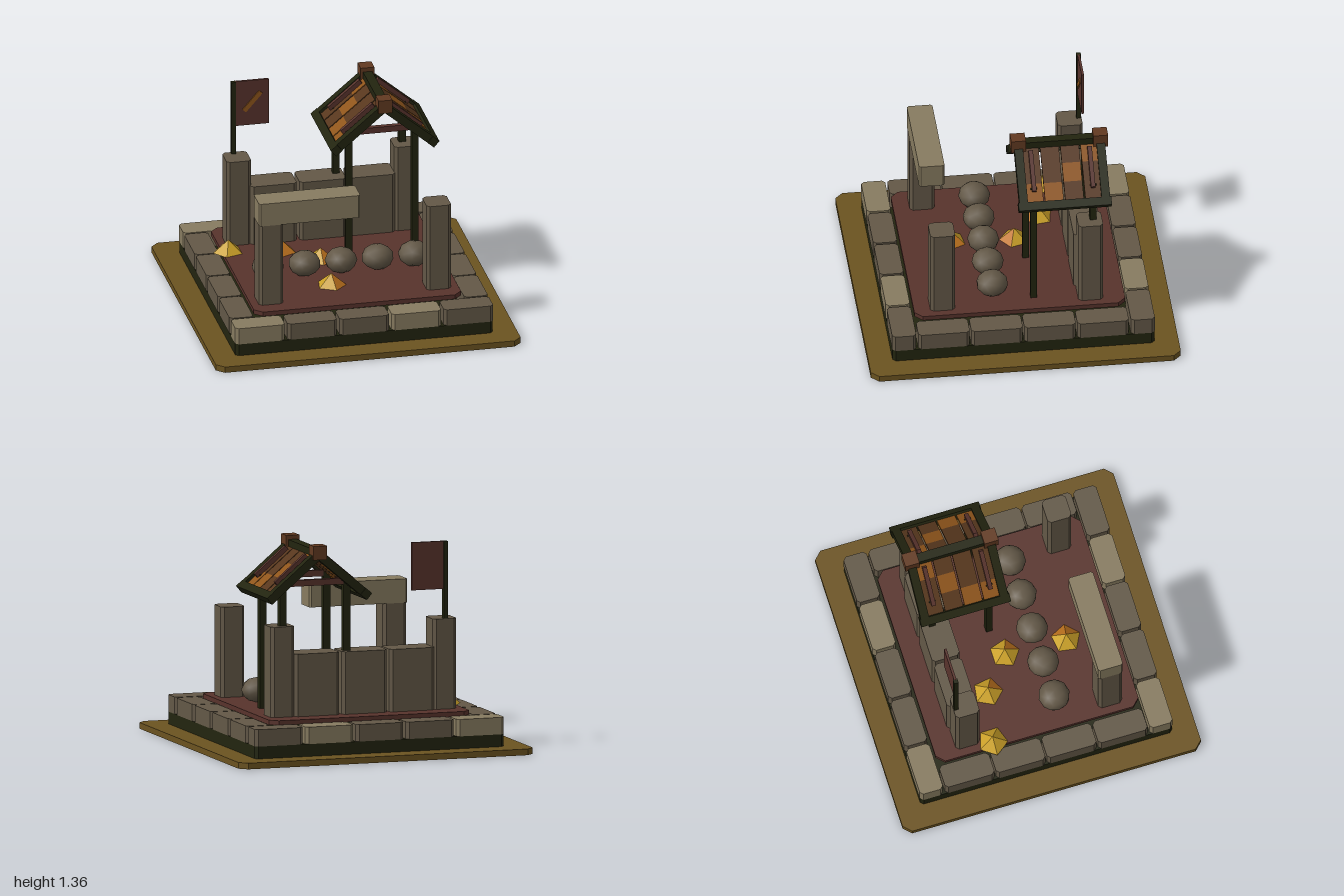
import * as THREE from 'three';

const mat = (name, color) => {
  const m = new THREE.MeshStandardMaterial({ color });
  m.name = name;
  return m;
};

export function createModel() {
  const model = new THREE.Group();
  model.name = 'ruinedCamp';

  const earth = mat('earth', 0x6b5320), dark = mat('darkTimber', 0x22240f);
  const stone = mat('stone', 0x635847), paleStone = mat('paleStone', 0x877b60);
  const red = mat('darkRed', 0x58332c), rust = mat('rust', 0x623a21);
  const brown = mat('brownTile', 0x57371d), orange = mat('orangeTile', 0x8f551b);
  const gold = mat('gold', 0xcaa028), amber = mat('amber', 0xc0741f);

  const add = (parent, name, geo, material, x = 0, y = 0, z = 0) => {
    const m = new THREE.Mesh(geo, material);
    m.name = name;
    m.position.set(x, y, z);
    parent.add(m);
    return m;
  };
  const box = (parent, name, material, w, h, d, x, y, z) =>
    add(parent, name, new THREE.BoxGeometry(w, h, d), material, x, y, z);

  // Upright block with chamfered vertical corners, standing on y
  const block = (name, material, w, h, d, x, y, z, c = 0.02) => {
    const a = w / 2, b = d / 2;
    const pts = [[-a + c, -b], [a - c, -b], [a, -b + c], [a, b - c],
      [a - c, b], [-a + c, b], [-a, b - c], [-a, -b + c]];
    const shape = new THREE.Shape(pts.map(p => new THREE.Vector2(...p)));
    const geo = new THREE.ExtrudeGeometry(shape, { depth: h, bevelEnabled: false });
    geo.rotateX(-Math.PI / 2);
    return add(model, name, geo, material, x, y, z);
  };

  // Ground, plinth and raised floor
  block('ground', earth, 2, 0.04, 2, 0, 0, 0, 0.05);
  block('plinth', dark, 1.69, 0.08, 1.69, 0, 0.04, 0, 0.02);
  block('floor', red, 1.36, 0.03, 1.36, 0, 0.225, 0, 0.05);

  // Ring of kerb stones
  for (const s of [-1, 1]) {
    for (let i = 0; i < 5; i++) {
      block('kerbStone', i % 3 === 0 ? paleStone : stone, 0.325, 0.11, 0.155, (i - 2) * 0.342, 0.12, s * 0.77);
    }
    for (let i = 0; i < 4; i++) {
      block('kerbStone', stone, 0.155, 0.11, 0.332, s * 0.77, 0.12, (i - 1.5) * 0.342);
    }
  }

  // Pillars, lintel and back wall
  for (const x of [-0.55, 0.55]) {
    block('frontPillar', stone, 0.16, x < 0 ? 0.56 : 0.59, 0.16, x, 0.25, 0.495);
    block('backPillar', stone, 0.16, 0.59, 0.16, x, 0.25, -0.46);
  }
  block('lintel', paleStone, 0.665, 0.155, 0.165, -0.3, 0.81, 0.495, 0.012);
  for (let i = 0; i < 3; i++) {
    block('wallSlab', stone, 0.305, 0.41, 0.185, -0.325 + i * 0.323, 0.25, -0.46);
  }

  // Row of faceted boulders
  for (let i = 0; i < 5; i++) {
    const geo = new THREE.IcosahedronGeometry(0.105, 1);
    geo.rotateY(i * 0.7);
    geo.scale(1, 0.79, 0.98);
    add(model, 'boulder', geo, stone, -0.483 + i * 0.24, 0.335, 0.16);
  }

  // Gold heaps, some with amber faces
  const heaps = [[-0.64, -0.3, 0], [-0.31, -0.23, 1], [-0.09, -0.05, 1], [-0.11, 0.355, 2]];
  heaps.forEach(([x, z, amberFaces], i) => {
    const cone = new THREE.ConeGeometry(0.1, 0.085, 5, 1).toNonIndexed();
    cone.computeVertexNormals();
    cone.clearGroups();
    cone.addGroup(0, amberFaces * 3, 1);
    cone.addGroup(amberFaces * 3, Infinity, 0);
    const m = add(model, 'goldHeap', cone, [gold, amber], x, 0.295, z);
    m.rotation.y = -0.3 + i * 0.15;
  });

  // Banner on the back pillar
  box(model, 'bannerPole', dark, 0.03, 0.52, 0.03, -0.557, 1.08, -0.522);
  box(model, 'banner', red, 0.22, 0.31, 0.016, -0.437, 1.187, -0.522);
  box(model, 'bannerStripe', orange, 0.165, 0.03, 0.008, -0.435, 1.197, -0.51).rotation.z = 0.85;

  // Shelter posts and tie beams
  const shelter = new THREE.Group();
  shelter.name = 'shelter';
  model.add(shelter);
  for (const z of [-0.1, -0.482]) {
    for (const x of [0.104, 0.538]) box(shelter, 'post', dark, 0.045, 0.87, 0.042, x, 0.685, z);
    box(shelter, 'tieBeam', red, 0.42, 0.04, 0.035, 0.321, 1.11, z);
  }

  // Roof: two mirrored slopes of framed tile strips
  const roof = new THREE.Group();
  roof.name = 'roof';
  roof.position.set(0.32, 1.3, -0.29);
  shelter.add(roof);
  const orangeTile = [2, 2, 1, 0];
  for (const s of [-1, 1]) {
    const slope = new THREE.Group();
    slope.name = 'roofSlope';
    slope.rotation.z = -s * 0.698;
    roof.add(slope);
    box(slope, 'eaveBeam', dark, 0.055, 0.055, 0.6, s * 0.415, 0, 0);
    for (const e of [-1, 1]) {
      box(slope, 'rafter', dark, 0.43, 0.055, 0.055, s * 0.215, 0, e * 0.265);
      box(slope, 'batten', red, 0.27, 0.03, 0.028, s * 0.185, 0.025, e * 0.19);
    }
    for (let i = 0; i < 4; i++) {
      for (let j = 0; j < 3; j++) {
        box(slope, 'roofTile', j === orangeTile[i] ? orange : brown,
          0.124, 0.02, 0.12, s * (0.08 + j * 0.124), 0, 0.195 - i * 0.13);
      }
    }
  }

  // Ridge beam with end caps
  box(roof, 'ridgeBeam', dark, 0.06, 0.055, 0.56, 0, 0.005, 0);
  for (const e of [-1, 1]) box(roof, 'ridgeCap', rust, 0.09, 0.09, 0.095, 0, 0.015, e * 0.265);

  return model;
}
